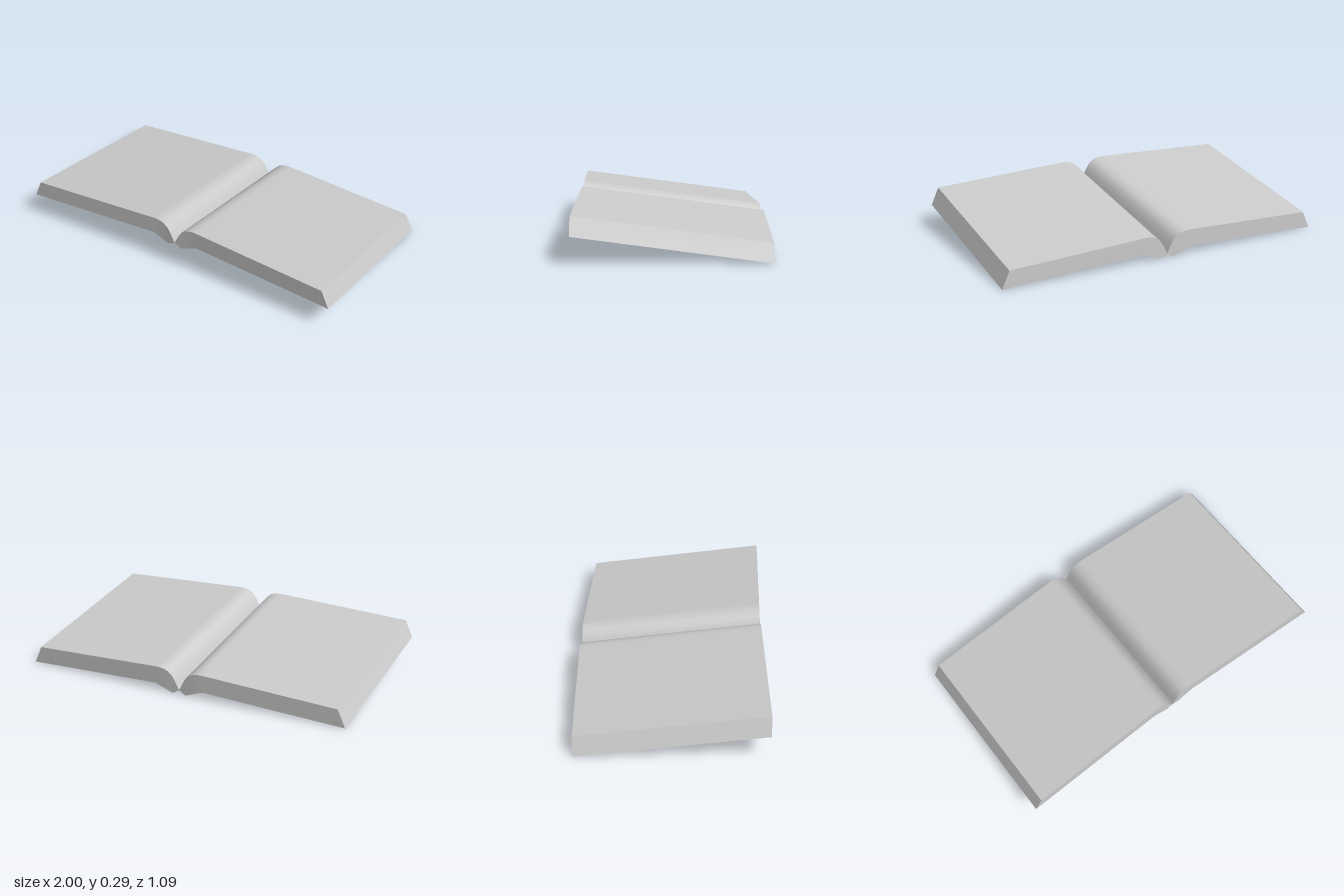
import * as THREE from 'three';

const material = new THREE.MeshStandardMaterial({ color: 0xcccccc, side: THREE.DoubleSide });

// Paired cross-section points at the front edge, outer edge to gutter:
// [top x, top y, bottom x, bottom y, z shift]
const profile = [
  [0.955, 0.247, 1, 0.145, 0],
  [0.15, 0.288, 0.15, 0.186, -0.021],
  [0.125, 0.288, 0.125, 0.177, -0.022],
  [0.1, 0.285, 0.108, 0.171, -0.022],
  [0.07, 0.274, 0.085, 0.162, -0.022],
  [0.045, 0.252, 0.06, 0.152, -0.021],
  [0.025, 0.220, 0.04, 0.145, -0.02],
  [0.012, 0.193, 0.02, 0.157, -0.02],
  [0, 0.17, 0, 0.17, -0.019],
];
const FRONT = 0.543, DEPTH = 1.066, DROP = 0.144;

// Ruled surface between two rows of points; flip reverses the winding
function strip(name, a, b, flip) {
  const pos = [], index = [];
  a.forEach((p, i) => pos.push(...p, ...b[i]));
  for (let i = 0; i < a.length - 1; i++) {
    const k = 2 * i;
    if (flip) index.push(k, k + 2, k + 1, k + 1, k + 2, k + 3);
    else index.push(k, k + 1, k + 2, k + 1, k + 3, k + 2);
  }
  const g = new THREE.BufferGeometry();
  g.setAttribute('position', new THREE.Float32BufferAttribute(pos, 3));
  g.setIndex(index);
  g.computeVertexNormals();
  const mesh = new THREE.Mesh(g, material);
  mesh.name = name;
  return mesh;
}

// One half of the open book: a hollow page block, open underneath
function half(name, s) {
  const row = (top, back) => profile.map(([tx, ty, bx, by, dz]) => [
    s * (top ? tx : bx),
    (top ? ty : by) - (back ? DROP : 0),
    FRONT + dz - (back ? DEPTH : 0),
  ]);
  const topF = row(true, false), topB = row(true, true);
  const botF = row(false, false), botB = row(false, true);
  const left = s > 0;
  const group = new THREE.Group();
  group.name = name;
  group.add(
    strip('pageSurface', topF, topB, left),
    strip('frontEdge', topF, botF, !left),
    strip('backEdge', topB, botB, left),
    strip('outerEdge', [topF[0], topB[0]], [botF[0], botB[0]], !left),
  );
  return group;
}

export function createModel() {
  const book = new THREE.Group();
  book.name = 'openBook';
  book.add(half('leftPages', 1), half('rightPages', -1));
  // Fix winding so every surface faces outward
  book.traverse((m) => {
    if (!m.isMesh) return;
    const want = {
      pageSurface: [0, 1, 0], frontEdge: [0, 0, 1], backEdge: [0, 0, -1],
      outerEdge: [m.parent.name === 'leftPages' ? 1 : -1, 0, 0],
    }[m.name];
    const n = m.geometry.attributes.normal;
    const facing = new THREE.Vector3().fromBufferAttribute(n, 0).dot(new THREE.Vector3(...want));
    if (facing < 0) {
      m.geometry.setIndex([...m.geometry.index.array].reverse());
      m.geometry.computeVertexNormals();
    }
  });
  return book;
}
